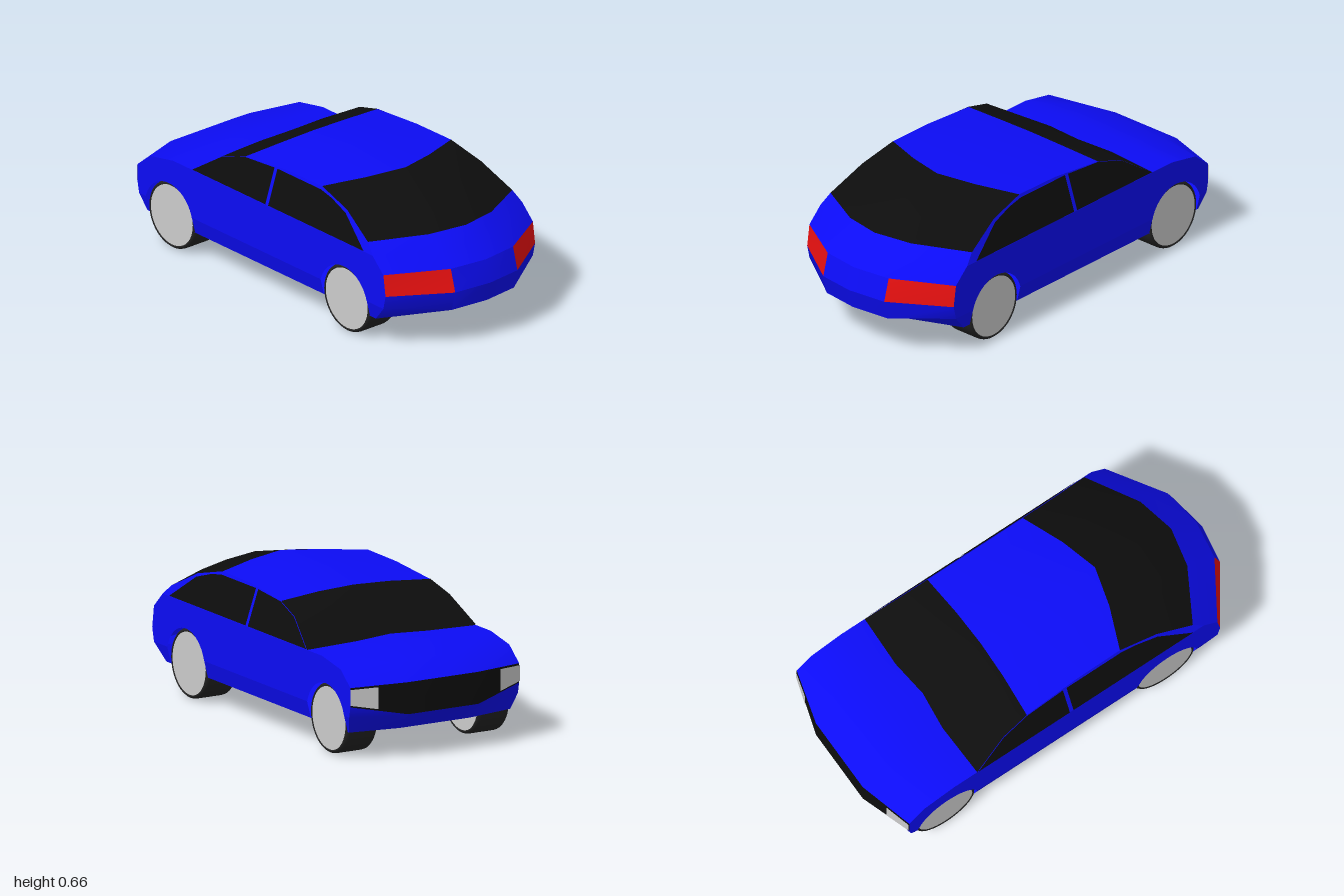
import * as THREE from 'three';
import { toCreasedNormals } from 'three/addons/utils/BufferGeometryUtils.js';

const paint = (color) => new THREE.MeshStandardMaterial({ color, side: THREE.DoubleSide });
const BLUE = paint(0x0c0cf5), BLACK = paint(0x0d0d0d), RED = paint(0xe81010);
const RUBBER = paint(0x222222), GREY = paint(0xcccccc);

// Body rows from under the nose, over the roof, to under the tail:
// x, y on the centre line, then at mid lane, then at the outer edge
const ROWS = [
  [-0.925, 0.13, -0.925, 0.13, -0.88, 0.13],
  [-0.967, 0.175, -0.967, 0.175, -0.915, 0.21],
  [-1, 0.21, -1, 0.21, -0.925, 0.26],
  [-1, 0.36, -1, 0.36, -0.925, 0.35],
  [-0.88, 0.43, -0.88, 0.43, -0.84, 0.42],
  [-0.68, 0.463, -0.68, 0.461, -0.68, 0.45],
  [-0.54, 0.466, -0.56, 0.46, -0.55, 0.45],
  [-0.37, 0.578, -0.38, 0.574, -0.38, 0.565],
  [-0.22, 0.628, -0.225, 0.622, -0.24, 0.607],
  [0.04, 0.658, 0.04, 0.648, 0.04, 0.632],
  [0.41, 0.657, 0.36, 0.648, 0.28, 0.635],
  [0.63, 0.605, 0.58, 0.6, 0.47, 0.588],
  [0.83, 0.515, 0.79, 0.51, 0.65, 0.497],
  [0.897, 0.455, 0.86, 0.452, 0.7, 0.45],
  [0.968, 0.39, 0.94, 0.388, 0.775, 0.378],
  [1, 0.285, 0.97, 0.28, 0.79, 0.275],
  [0.975, 0.19, 0.945, 0.185, 0.775, 0.21],
  [0.83, 0.135, 0.81, 0.133, 0.7, 0.13],
];
const MID_Z = 0.187, BELT = 0.45, SILL = 0.21;
const WHEEL_X = [-0.71, 0.5], WHEEL_R = 0.163, ARCH_R = 0.166;

// Half width of the body at a height: tucked sill, upright door, leaning glass
function halfWidth(y) {
  if (y < SILL) return 0.45 - 0.25 * (SILL - y);
  return 0.45 - 0.335 * Math.max(0, y - BELT);
}

const edge = (i) => [ROWS[i][4], ROWS[i][5]];

// The five points across the body on one row
function across(i) {
  const [cx, cy, mx, my, ex, ey] = ROWS[i];
  const w = halfWidth(ey);
  return [[ex, ey, -w], [mx, my, -MID_Z], [cx, cy, 0], [mx, my, MID_Z], [ex, ey, w]];
}

function add(parent, name, geometry, material) {
  const mesh = new THREE.Mesh(geometry, material);
  mesh.name = name;
  parent.add(mesh);
  return mesh;
}

// Skin stretched over a list of cross lines
function skin(lines) {
  const pos = [];
  for (let i = 0; i + 1 < lines.length; i++) {
    for (let j = 0; j + 1 < lines[i].length; j++) {
      const a = lines[i][j], b = lines[i][j + 1], c = lines[i + 1][j + 1], d = lines[i + 1][j];
      pos.push(...a, ...b, ...c, ...a, ...c, ...d);
    }
  }
  const g = new THREE.BufferGeometry();
  g.setAttribute('position', new THREE.Float32BufferAttribute(pos, 3));
  return toCreasedNormals(g, 0.6);
}

// Body panel over the given rows and lanes
function panel(parent, name, material, rows, from = 0, to = 4) {
  return add(parent, name, skin(rows.map((i) => across(i).slice(from, to + 1))), material);
}

// Flat outline laid onto the flank of the body
function flank(parent, name, material, points, lift = 0) {
  const g = new THREE.ShapeGeometry(new THREE.Shape(points.map(([x, y]) => new THREE.Vector2(x, y))));
  const p = g.attributes.position;
  for (let i = 0; i < p.count; i++) p.setZ(i, halfWidth(p.getY(i)) + lift);
  g.computeVertexNormals();
  return add(parent, name, g, material);
}

// Wheel arch curve from its rear foot to its front foot
function arch(cx) {
  const a0 = Math.asin((SILL - WHEEL_R) / ARCH_R), n = 24;
  return Array.from({ length: n + 1 }, (_, i) => {
    const a = a0 + (Math.PI - 2 * a0) * i / n;
    return [cx + ARCH_R * Math.cos(a), WHEEL_R + ARCH_R * Math.sin(a)];
  });
}

function makeSide() {
  const side = new THREE.Group();
  side.name = 'side';
  const [front, rear] = WHEEL_X;
  flank(side, 'doorPanel', BLUE, [
    ...[1, 2, 3, 4, 5, 6, 13, 14, 15, 16].map(edge), ...arch(rear), ...arch(front),
  ]);
  flank(side, 'windowFrame', BLUE, [6, 7, 8, 9, 10, 11, 12, 13].map(edge));

  // Sill pieces before, between and behind the wheels
  const d = 0.16;
  const sills = [
    [edge(1), [front - d, SILL], [front - d, 0.13], edge(0)],
    [[front + d, SILL], [rear - d, SILL], [rear - d, 0.13], [front + d, 0.13]],
    [[rear + d, SILL], edge(16), edge(17), [rear + d, 0.13]],
  ];
  for (const s of sills) flank(side, 'sill', BLUE, s);

  // Side windows with the door post between them
  flank(side, 'frontWindow', BLACK,
    [[-0.545, 0.453], [-0.38, 0.564], [-0.24, 0.606], [-0.04, 0.62], [-0.04, 0.453]], 0.003);
  flank(side, 'rearWindow', BLACK,
    [[-0.02, 0.453], [-0.02, 0.621], [0.28, 0.621], [0.36, 0.607], [0.47, 0.573], [0.64, 0.453]], 0.003);

  // Headlamp at the outer end of the grille
  const lampLine = (i) => {
    const [, , , m, e] = across(i).map((q) => new THREE.Vector3(...q));
    return [0.52, 1].map((t) => {
      const v = m.clone().lerp(e, t);
      return [v.x - 0.004, v.y + (i === 2 ? 0.008 : -0.008), v.z + 0.001];
    });
  };
  add(side, 'headlamp', skin([lampLine(2), lampLine(3)]), GREY);
  return side;
}

// Round-shouldered tyre around a plain disc hub, axis along z
function makeWheel() {
  const wheel = new THREE.Group();
  wheel.name = 'wheel';
  const h = 0.083, r = WHEEL_R;
  const half = [[0.146, h - 0.006], [0.149, h], [r - 0.008, h - 0.003], [r - 0.002, h - 0.01], [r, h - 0.02]];
  const profile = [...half.map(([x, y]) => [x, -y]), ...half.slice().reverse()];
  const tyre = new THREE.LatheGeometry(profile.map((p) => new THREE.Vector2(...p)), 48);
  add(wheel, 'tyre', tyre.rotateX(Math.PI / 2), RUBBER);
  add(wheel, 'hub', new THREE.CylinderGeometry(0.148, 0.148, 0.156, 48).rotateX(Math.PI / 2), GREY);
  return wheel;
}

export function createModel() {
  const car = new THREE.Group();
  car.name = 'car';

  // Panels from nose to tail
  panel(car, 'frontBumper', BLUE, [0, 1, 2]);
  panel(car, 'grille', BLACK, [2, 3]);
  panel(car, 'bonnet', BLUE, [3, 4, 5, 6]);
  panel(car, 'windscreen', BLACK, [6, 7, 8]);
  panel(car, 'roof', BLUE, [8, 9, 10]);
  panel(car, 'rearWindscreen', BLACK, [10, 11, 12]);
  panel(car, 'tailgate', BLUE, [12, 13, 14]);
  panel(car, 'tailCentre', BLUE, [14, 15], 1, 3);
  panel(car, 'rightTailLamp', RED, [14, 15], 0, 1);
  panel(car, 'leftTailLamp', RED, [14, 15], 3, 4);
  panel(car, 'rearBumper', BLUE, [15, 16, 17]);
  panel(car, 'floor', BLUE, [17, 0]);

  // Mirrored sides and wheels
  for (const s of [1, -1]) {
    const side = makeSide();
    side.scale.z = s;
    car.add(side);
    for (const x of WHEEL_X) {
      const wheel = makeWheel();
      wheel.position.set(x, WHEEL_R, s * 0.352);
      car.add(wheel);
    }
  }
  return car;
}
